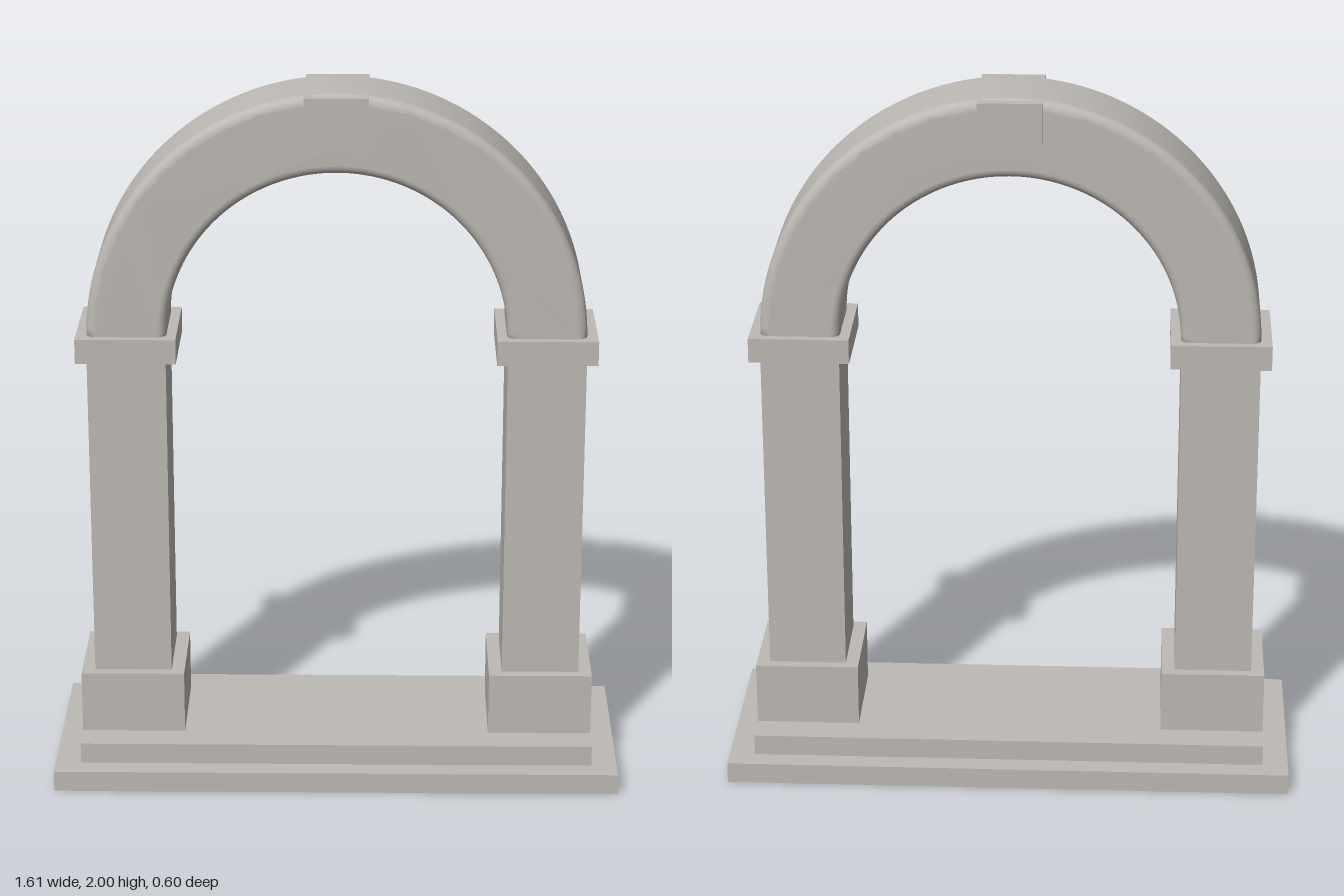
import * as THREE from 'three';
import { mergeVertices } from 'three/addons/utils/BufferGeometryUtils.js';

export function createModel() {
  const root = new THREE.Group();
  root.name = 'archway';
  const stone = new THREE.MeshStandardMaterial({ color: 0xbdb9b4 });
  stone.name = 'stone';

  const add = (name, geometry, parent = root) => {
    const mesh = new THREE.Mesh(geometry, stone);
    mesh.name = name;
    parent.add(mesh);
    return mesh;
  };
  // Box given by its bottom and top heights
  const block = (name, width, depth, y0, y1, parent) => {
    const mesh = add(name, new THREE.BoxGeometry(width, y1 - y0, depth), parent);
    mesh.position.y = (y0 + y1) / 2;
    return mesh;
  };

  // Stepped base
  block('lowerStep', 1.61, 0.6, 0, 0.06);
  block('upperStep', 1.464, 0.48, 0.06, 0.12);

  // Two pillars with plinth and capital
  for (const [side, sign] of [['left', 1], ['right', -1]]) {
    const pillar = new THREE.Group();
    pillar.name = side + 'Pillar';
    pillar.position.x = sign * 0.585;
    root.add(pillar);
    block('plinth', 0.295, 0.3, 0.12, 0.3, pillar);
    block('shaft', 0.22, 0.24, 0.3, 1.24, pillar);
    block('capital', 0.28, 0.295, 1.24, 1.31, pillar);
  }

  // Half-ring arch with softly rounded edges and smooth normals
  const bevel = 0.025, halfDepth = 0.123;
  const ring = new THREE.Shape();
  ring.absarc(0, 0, 0.695 - bevel, 0, Math.PI, false);
  ring.absarc(0, 0, 0.473 + bevel, Math.PI, 0, true);
  let arch = new THREE.ExtrudeGeometry(ring, {
    depth: 2 * (halfDepth - bevel), curveSegments: 40,
    bevelEnabled: true, bevelSize: bevel, bevelThickness: bevel, bevelSegments: 4,
  });
  arch.translate(0, 1.305, bevel - halfDepth);
  arch.deleteAttribute('normal');
  arch.deleteAttribute('uv');
  arch = mergeVertices(arch, 1e-4);
  arch.computeVertexNormals();
  add('arch', arch);

  // Keystone at the crown
  block('keystone', 0.176, 0.28, 1.845, 1.994);

  return root;
}
